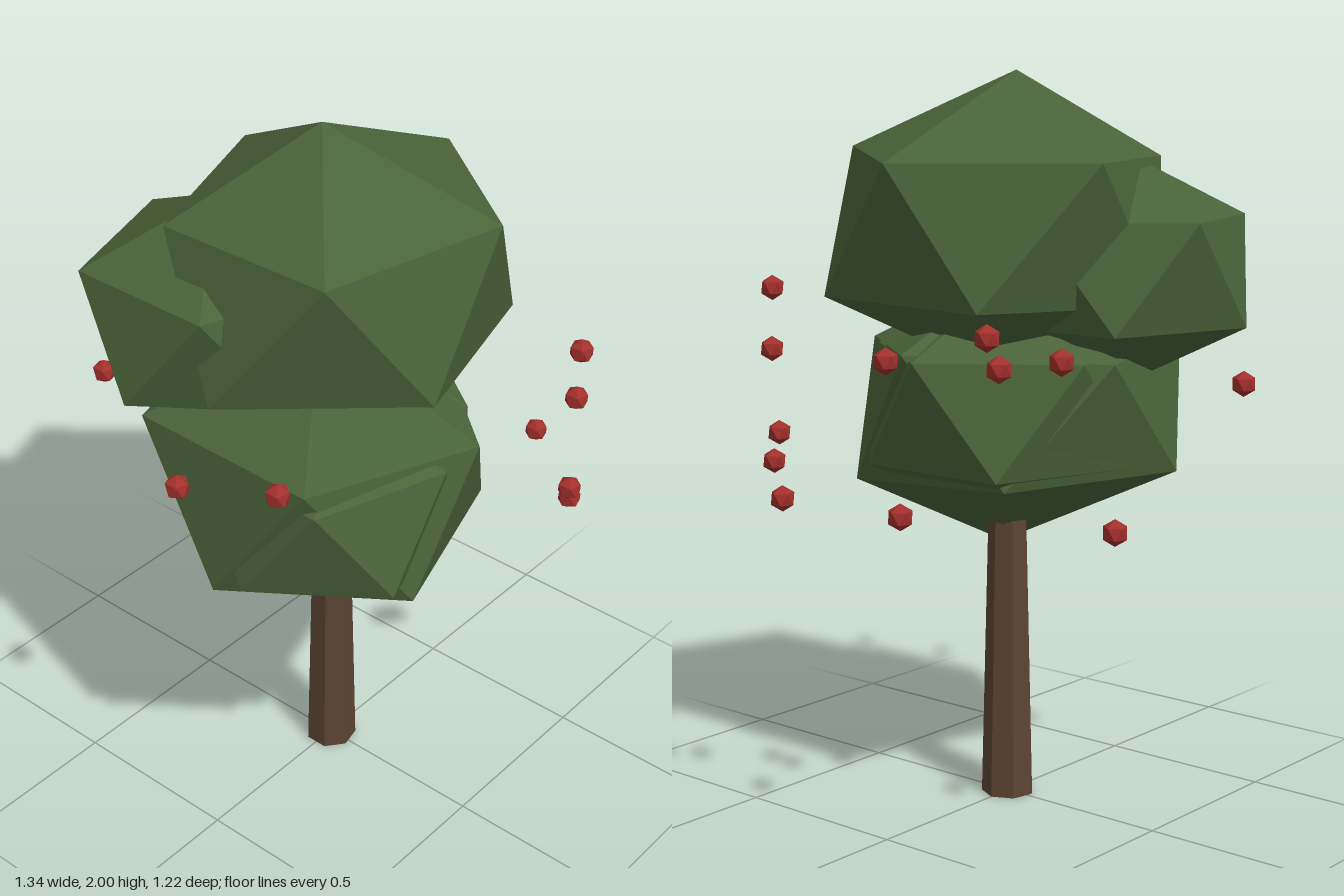
import * as THREE from 'three';
import { ConvexGeometry } from 'three/addons/geometries/ConvexGeometry.js';

const flat = (name, color) => {
  const m = new THREE.MeshStandardMaterial({ color, flatShading: true });
  m.name = name;
  return m;
};

// Twelve corners of a squashed icosahedron standing on one corner
function icoCorners(x, y, z, ringRadius, halfHeight) {
  const points = [[x, y + halfHeight, z], [x, y - halfHeight, z]];
  for (let i = 0; i < 10; i++) {
    const a = (i * Math.PI) / 5;
    const side = i % 2 ? -1 : 1;
    points.push([x + ringRadius * Math.cos(a), y + side * halfHeight * 0.447, z + ringRadius * Math.sin(a)]);
  }
  return points;
}

export function createModel() {
  const tree = new THREE.Group();
  tree.name = 'fruitTree';
  const bark = flat('bark brown', 0x5c4433);
  const leaf = flat('leaf green', 0x4a6339);
  const red = flat('berry red', 0xa3302c);

  const add = (name, geometry, material) => {
    const mesh = new THREE.Mesh(geometry, material);
    mesh.name = name;
    tree.add(mesh);
    return mesh;
  };
  const hull = (points) => new ConvexGeometry(points.map((p) => new THREE.Vector3(...p)));

  // Seven-sided tapering trunk
  const trunk = add('trunk', new THREE.CylinderGeometry(0.047, 0.074, 1.1, 7), bark);
  trunk.position.y = 0.55;
  trunk.rotation.y = Math.PI / 2;

  // Large upper clump: tip, upper ring, lower ring, base
  add('upperFoliage', hull([
    [-0.01, 2, -0.02],
    [0.5, 1.77, -0.01], [0.16, 1.795, 0.42], [-0.34, 1.77, 0.27], [-0.35, 1.77, -0.25], [0.16, 1.77, -0.44],
    [0.41, 1.41, 0.29], [-0.115, 1.405, 0.435], [-0.47, 1.39, 0], [-0.115, 1.39, -0.43], [0.41, 1.4, -0.24],
    [0, 1.17, 0],
  ]), leaf);

  // Large lower clump, slightly uneven
  add('lowerFoliage', hull([
    [-0.09, 1.475, 0.04],
    [0.375, 1.27, 0.05], [0.005, 1.25, 0.493], [-0.5, 1.29, 0.34], [-0.48, 1.28, -0.23], [0.05, 1.25, -0.4],
    [0.265, 0.895, 0.32], [-0.235, 0.887, 0.478], [-0.56, 0.915, 0.08], [-0.235, 0.93, -0.397], [0.28, 0.925, -0.22],
    [-0.085, 0.695, 0.09],
  ]), leaf);

  // Smaller clumps behind, at the left and at the front right
  add('backFoliage', hull(icoCorners(-0.17, 1.473, -0.24, 0.36, 0.32)), leaf);
  add('leftFoliage', hull(icoCorners(0.01, 1.105, 0, 0.38, 0.336)), leaf);
  add('rightFoliage', hull(icoCorners(-0.222, 1.093, 0.17, 0.33, 0.31)), leaf);

  // Berries around the crown
  const berryGeometry = hull(icoCorners(0, 0, 0, 0.031, 0.035));
  [
    [0.335, 1.41, 0.565], [0.36, 1.245, 0.545], [0.305, 1, 0.58], [0.355, 0.93, 0.55],
    [0.6, 0.9, 0.265], [0.625, 0.915, -0.175], [0.635, 1.3, -0.14], [0.53, 1.365, -0.375],
    [0.515, 1.29, -0.4], [0.405, 1.305, -0.505], [0.285, 0.875, -0.58], [-0.285, 1.18, -0.575],
    [-0.64, 1.27, 0.05], [-0.56, 1.32, 0.31],
  ].forEach((p, i) => add(`berry${i + 1}`, berryGeometry, red).position.set(...p));

  return tree;
}
